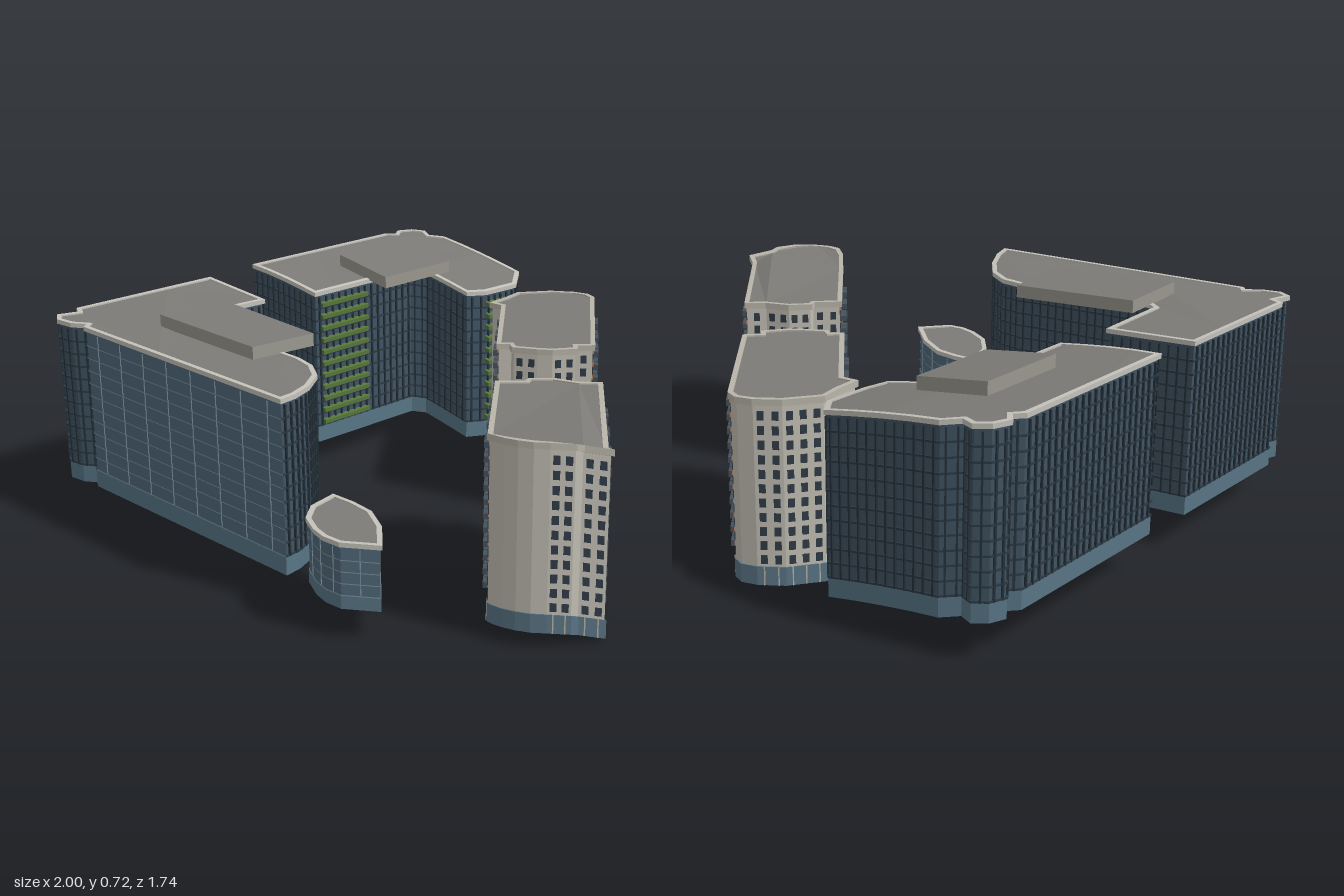
import * as THREE from 'three';
import { mergeGeometries } from 'three/addons/utils/BufferGeometryUtils.js';

// Put an outline [x, z] into one winding order
function oriented(pts) {
  let area = 0;
  pts.forEach(([x, z], i) => { const [X, Z] = pts[(i + 1) % pts.length]; area += x * Z - X * z; });
  return area > 0 ? pts : pts.slice().reverse();
}

// Edges of an outline with length, direction and outward normal
const edgesOf = (pts) => pts.map((a, i) => {
  const b = pts[(i + 1) % pts.length];
  const len = Math.hypot(b[0] - a[0], b[1] - a[1]);
  const u = [(b[0] - a[0]) / len, (b[1] - a[1]) / len];
  return { a, b, len, u, n: [u[1], -u[0]] };
});

// Split long edges so walls can follow the sloping ground
const densify = (pts, step) => edgesOf(pts).flatMap(({ a, u, len }) => {
  const n = Math.ceil(len / step);
  return Array.from({ length: n }, (_, k) => [a[0] + u[0] * len * k / n, a[1] + u[1] * len * k / n]);
});

// Outline pushed outward by d with mitred corners
function offset(pts, d) {
  const e = edgesOf(pts);
  return pts.map(([x, z], i) => {
    const p = e[(i + e.length - 1) % e.length].n, q = e[i].n;
    const k = d / Math.max(0.4, 1 + p[0] * q[0] + p[1] * q[1]);
    return [x + (p[0] + q[0]) * k, z + (p[1] + q[1]) * k];
  });
}

// Sweep a profile of [outward offset, height] around an outline
function sweep(pts, profile, keep = () => true) {
  const rings = profile.map(([o, y]) => offset(pts, o).map(([x, z]) => [x, y, z]));
  const pos = [];
  for (let k = 0; k + 1 < rings.length; k++) {
    for (let i = 0; i < pts.length; i++) {
      if (!keep(i)) continue;
      const j = (i + 1) % pts.length;
      const a = rings[k][i], b = rings[k][j], c = rings[k + 1][j], d = rings[k + 1][i];
      pos.push(...a, ...d, ...c, ...a, ...c, ...b);
    }
  }
  const g = new THREE.BufferGeometry();
  g.setAttribute('position', new THREE.Float32BufferAttribute(pos, 3));
  return g;
}

// Flat horizontal cap
function cap(pts, y) {
  const s = new THREE.Shape(pts.map(([x, z]) => new THREE.Vector2(x, -z)));
  return new THREE.ShapeGeometry(s).rotateX(-Math.PI / 2).translate(0, y, 0);
}

// Box standing at distance s along an edge, its centre moved outward by out
function edgeBox(e, s, y, w, h, d, out = 0) {
  return new THREE.BoxGeometry(w, h, d).rotateY(-Math.atan2(e.u[1], e.u[0]))
    .translate(e.a[0] + e.u[0] * s + e.n[0] * out, y, e.a[1] + e.u[1] * s + e.n[1] * out);
}

// Merge pieces into one named mesh and raise them by the ground height
function add(group, name, color, geos, lift) {
  if (!geos.length) return;
  const g = mergeGeometries(geos.map((s) => {
    const t = s.index ? s.toNonIndexed() : s;
    t.deleteAttribute('uv');
    t.deleteAttribute('normal');
    return t;
  }));
  const p = g.attributes.position;
  for (let i = 0; i < p.count; i++) p.setY(i, p.getY(i) + lift(p.getX(i), p.getZ(i)));
  g.computeVertexNormals();
  const m = new THREE.Mesh(g, new THREE.MeshStandardMaterial({ color, flatShading: true, side: THREE.DoubleSide }));
  m.name = name;
  group.add(m);
}

// Glass office block: open shell, floor bands, fins, parapet and roof house
function office(name, raw, { h, lift, floors, house, isSmooth = () => false, green = [] }) {
  const g = new THREE.Group();
  g.name = name;
  const base = oriented(raw), pts = densify(base, 0.1), edges = edgesOf(base);
  const dense = edgesOf(pts), smooth = dense.map(isSmooth), podium = Math.min(0.06, h * 0.2);
  add(g, 'podiumGlass', 0x587585, [sweep(pts, [[0.003, 0], [0.003, podium], [0, podium]])], lift);
  add(g, 'glassWall', 0x405362, [sweep(pts, [[0, podium], [0, h]], (i) => !smooth[i])], lift);
  add(g, 'frontGlass', 0x4f6979, [sweep(pts, [[0, podium], [0, h]], (i) => smooth[i])], lift);
  const bands = [], fins = [], lines = [], step = (h - podium - 0.02) / floors;
  for (let f = 0; f < floors; f++) {
    const y = podium + f * step;
    bands.push(sweep(pts, [[0, y], [0.005, y], [0.005, y + 0.006], [0, y + 0.006]], (i) => !smooth[i]));
    lines.push(sweep(pts, [[0.002, y], [0.002, y + 0.003]], (i) => smooth[i]));
  }
  for (const e of edges) {
    const flat = isSmooth(e), n = Math.max(1, Math.round(e.len / (flat ? 0.12 : 0.032)));
    for (let i = 0; i < n; i++) {
      const s = (i + 0.5) * e.len / n;
      if (flat) lines.push(edgeBox(e, s, h / 2, 0.003, h - 0.04, 0.004));
      else fins.push(edgeBox(e, s, (podium + h - 0.02) / 2, 0.006, h - podium - 0.02, 0.014));
    }
  }
  add(g, 'floorBands', 0x2c3a45, bands, lift);
  add(g, 'fins', 0x26323c, fins, lift);
  add(g, 'frontMullions', 0x7e939e, lines, lift);
  add(g, 'parapet', 0xc4c2ba, [sweep(pts, [[0, h - 0.012], [0.008, h - 0.012], [0.008, h + 0.003], [-0.008, h + 0.003], [-0.008, h - 0.004]])], lift);
  add(g, 'roof', 0x7d7b77, [cap(pts, h - 0.002)], lift);
  // Planted balconies on the inner faces
  const plants = green.flatMap(([x, z, len]) => Array.from({ length: floors }, (_, f) =>
    new THREE.BoxGeometry(0.024, 0.014, len).translate(x, podium + (f + 0.4) * step, z)));
  add(g, 'plantedBalconies', 0x55763a, plants, lift);
  if (house) {
    const o = oriented(house);
    add(g, 'roofHouseWalls', 0x99978f, [sweep(o, [[0, h], [0, h + 0.042]])], lift);
    add(g, 'roofHouseRoof', 0x7d7b77, [cap(o, h + 0.042), cap(o, h)], lift);
  }
  return g;
}

// Apartment tower: brick long sides with balconies, pale ends with windows
function tower(name, raw, lift) {
  const g = new THREE.Group();
  g.name = name;
  const h = 0.585, podium = 0.06, floors = 11, step = (h - podium - 0.025) / floors;
  const pts = oriented(raw), edges = edgesOf(pts), brick = edges.map((e) => e.len > 0.35);
  add(g, 'podium', 0x5b7686, [sweep(pts, [[0.004, 0], [0.004, podium], [0, podium]])], lift);
  add(g, 'brickWall', 0x8a543a, [sweep(pts, [[0, podium], [0, h]], (i) => brick[i])], lift);
  add(g, 'paleWall', 0xc2bfb4, [sweep(pts, [[0, podium], [0, h]], (i) => !brick[i])], lift);
  const windows = [], balconies = [], trims = [], piers = [];
  edges.forEach((e, k) => {
    if (e.len < 0.055) return;
    const n = Math.max(1, Math.round(e.len / (brick[k] ? 0.04 : 0.045)));
    for (let i = 0; i < n; i++) {
      const s = (i + 0.5) * e.len / n;
      const bay = brick[k] && i % 4 > 1;
      piers.push(edgeBox(e, s, podium / 2, 0.004, podium, 0.012));
      for (let f = 0; f < floors; f++) {
        const y = podium + (f + 0.5) * step;
        windows.push(edgeBox(e, s, y, brick[k] ? 0.024 : 0.02, step * 0.6, 0.006));
        if (bay) balconies.push(edgeBox(e, s, y - step * 0.25, 0.034, step * 0.42, 0.024, 0.01));
      }
    }
  });
  for (let f = 0; f <= floors; f++) {
    const y = podium + f * step;
    trims.push(sweep(pts, [[0, y - 0.003], [0.004, y - 0.003], [0.004, y + 0.003], [0, y + 0.003]], (i) => brick[i]));
  }
  add(g, 'podiumPiers', 0xb5b1a6, piers, lift);
  add(g, 'windows', 0x303c47, windows, lift);
  add(g, 'balconies', 0x46525c, balconies, lift);
  add(g, 'brickCourses', 0x9a6144, trims, lift);
  add(g, 'parapet', 0xb9b5aa, [sweep(pts, [[0, h - 0.015], [0.008, h - 0.015], [0.008, h + 0.005], [-0.008, h + 0.005], [-0.008, h - 0.002]])], lift);
  add(g, 'roof', 0x7d7b77, [cap(pts, h)], lift);
  return g;
}

export function createModel() {
  const model = new THREE.Group();
  model.name = 'buildingComplex';

  // Rear L-shaped office, stepping down towards the courtyard
  model.add(office('rearOffice', [
    [-0.99, -0.02], [-0.65, -0.02], [-0.65, -0.49], [-0.61, -0.53], [-0.39, -0.53], [-0.365, -0.6],
    [-0.36, -0.75], [-0.43, -0.84], [-0.83, -0.84], [-0.88, -0.8], [-0.93, -0.825], [-0.97, -0.8],
    [-0.99, -0.75], [-0.96, -0.71], [-0.99, -0.68],
  ], {
    h: 0.57, floors: 11,
    lift: (x) => 0.12 - 0.09 * Math.pow(Math.max(0, x + 1) / 0.64, 1.5),
    house: [[-0.805, -0.6], [-0.555, -0.6], [-0.555, -0.275], [-0.805, -0.275]],
    green: [[-0.645, -0.15, 0.22], [-0.355, -0.67, 0.14]],
  }));

  // Front office with a curved end and a smooth street face
  model.add(office('frontOffice', [
    [-0.99, 0.19], [-0.69, 0.19], [-0.69, 0.47], [-0.65, 0.5], [-0.2, 0.5], [-0.13, 0.495], [-0.05, 0.51],
    [0.03, 0.56], [0.1, 0.65], [0.145, 0.74], [0.16, 0.8], [-0.8, 0.835], [-0.82, 0.81], [-0.87, 0.845],
    [-0.93, 0.855], [-0.97, 0.83], [-0.95, 0.76], [-0.99, 0.74],
  ], {
    h: 0.565, floors: 11,
    lift: (x, z) => 0.115 - 0.012 * (x + 1) - 0.08 * (x + 1) * Math.max(0, 0.8 - z),
    house: [[-0.655, 0.38], [-0.21, 0.36], [-0.195, 0.62], [-0.65, 0.645]],
    isSmooth: (e) => e.n[1] > 0.95 && e.a[1] > 0.78 && e.len > 0.07,
  }));

  // Low leaf-shaped pavilion
  model.add(office('pavilion', [
    [0.14, 0.59], [0.22, 0.585], [0.31, 0.595], [0.42, 0.655], [0.525, 0.75], [0.44, 0.825],
    [0.38, 0.83], [0.32, 0.815], [0.24, 0.775], [0.175, 0.7],
  ], { h: 0.21, floors: 4, lift: (x, z) => 0.1 - 0.08 * (0.83 - z), isSmooth: () => true }));

  // Apartment towers
  model.add(tower('rearTower', [
    [-0.29, -0.7], [-0.22, -0.8], [-0.15, -0.85], [-0.1, -0.865], [-0.06, -0.85], [0.31, -0.42],
    [0.27, -0.375], [0.295, -0.35], [0.25, -0.285], [0.21, -0.255], [0.14, -0.215], [0.11, -0.235],
    [0.08, -0.205], [-0.22, -0.545], [-0.27, -0.54], [-0.275, -0.62],
  ], () => 0));
  model.add(tower('frontTower', [
    [0.345, 0.08], [0.41, 0.015], [0.4, -0.01], [0.45, -0.065], [0.53, -0.095], [0.58, -0.14], [0.95, 0.275],
    [0.99, 0.3], [0.94, 0.36], [0.935, 0.385], [0.89, 0.44], [0.855, 0.47], [0.815, 0.49], [0.775, 0.503],
    [0.735, 0.505], [0.7, 0.485], [0.65, 0.43],
  ], (x, z) => 0.048 * THREE.MathUtils.smoothstep(0.45 * x + 0.9 * z, 0.66, 0.81)));

  return model;
}
